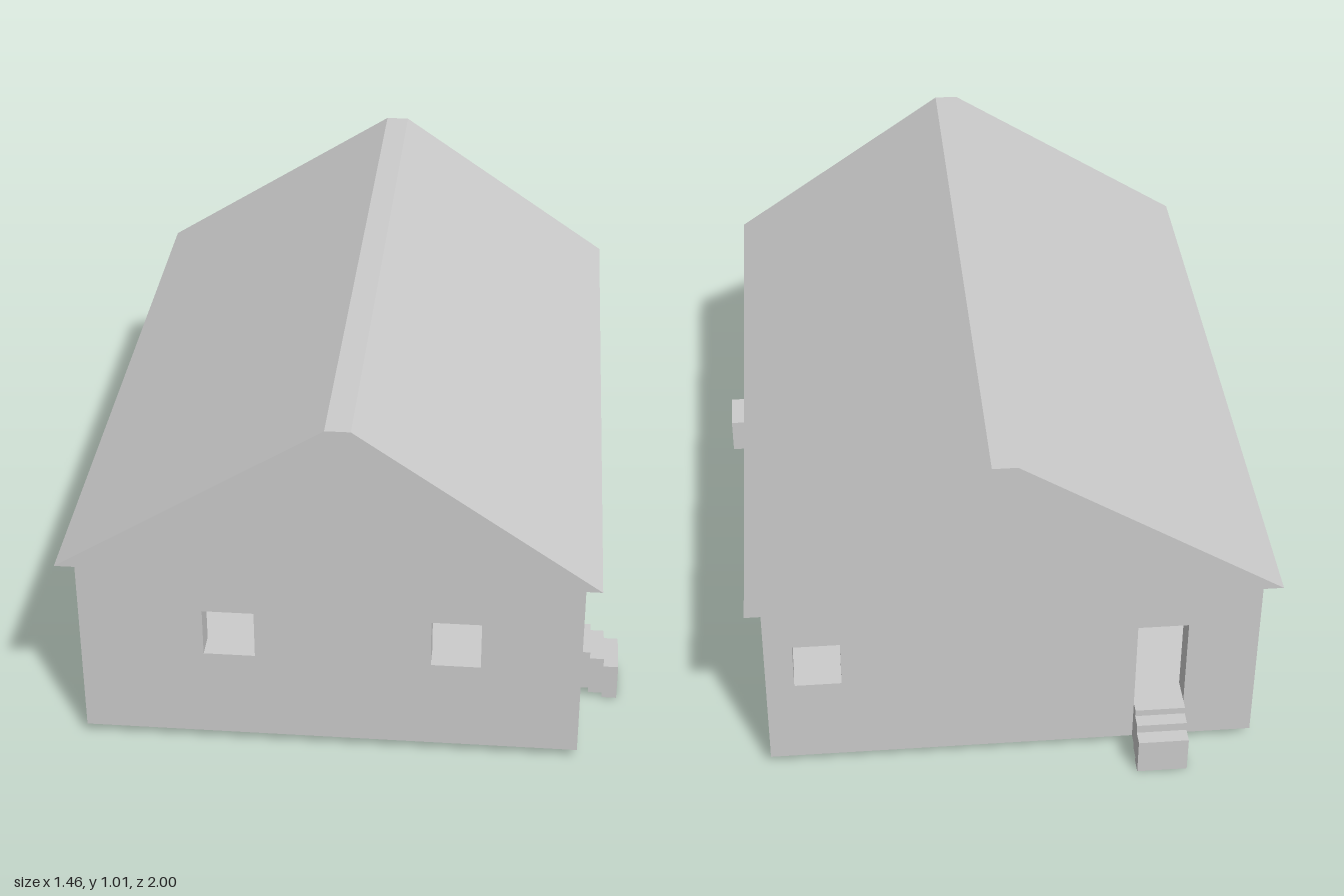
import * as THREE from 'three';

const BASE = 0.03, FLOOR = 0.15, EAVE = 0.575;    // wall foot, room floor, wall top
const SILL = 0.285, HEAD = 0.42;                  // window sill, head of every opening
const OUT = { x0: -0.69, x1: 0.62, z0: -0.89, z1: 0.95 };
const IN = { x0: -0.62, x1: 0.55, z0: -0.82, z1: 0.88 };

const solid = new THREE.MeshStandardMaterial({ color: 0xcccccc, flatShading: true });
const sheetMat = new THREE.MeshStandardMaterial({ color: 0xcccccc, flatShading: true, side: THREE.DoubleSide });

// Collects flat rectangles into one mesh; n is the direction each should face
function sheets() {
  const pos = [];
  return {
    quad(o, e, f, n) {
      const O = new THREE.Vector3(...o), N = new THREE.Vector3(...n);
      let E = new THREE.Vector3(...e), F = new THREE.Vector3(...f);
      if (E.clone().cross(F).dot(N) < 0) [E, F] = [F, E];
      const A = O.clone().add(E), B = A.clone().add(F), C = O.clone().add(F);
      for (const p of [O, A, B, O, B, C]) pos.push(p.x, p.y, p.z);
    },
    mesh(name) {
      const g = new THREE.BufferGeometry();
      g.setAttribute('position', new THREE.Float32BufferAttribute(pos, 3));
      g.computeVertexNormals();
      const m = new THREE.Mesh(g, sheetMat);
      m.name = name;
      return m;
    },
  };
}

const win = (u0, u1) => ({ u0, u1, y0: SILL });
const door = (u0, u1) => ({ u0, u1, y0: FLOOR });

// Hollow wall: two skins pierced by openings, plus the reveals joining them.
// axis is the direction it runs in; each skin is { w, u0, u1, y0 }.
function wall(name, axis, skinA, skinB, openings) {
  const s = sheets();
  const P = (u, y, w) => (axis === 'x' ? [u, y, w] : [w, y, u]);
  const list = [...openings].sort((a, b) => a.u0 - b.u0);

  for (const [skin, other] of [[skinA, skinB], [skinB, skinA]]) {
    const n = P(0, 0, Math.sign(skin.w - other.w));
    const rect = (u0, u1, y0, y1) => {
      if (u1 - u0 > 1e-4 && y1 - y0 > 1e-4)
        s.quad(P(u0, y0, skin.w), P(u1 - u0, 0, 0), P(0, y1 - y0, 0), n);
    };
    let u = skin.u0;
    for (const o of list) {
      rect(u, o.u0, skin.y0, EAVE);
      rect(o.u0, o.u1, skin.y0, o.y0);
      rect(o.u0, o.u1, HEAD, EAVE);
      u = o.u1;
    }
    rect(u, skin.u1, skin.y0, EAVE);
  }

  // reveals: jambs, sill and head
  const w = skinA.w, t = P(0, 0, skinB.w - skinA.w);
  for (const { u0, u1, y0 } of list) {
    const up = P(0, HEAD - y0, 0), along = P(u1 - u0, 0, 0);
    s.quad(P(u0, y0, w), up, t, P(1, 0, 0));
    s.quad(P(u1, y0, w), up, t, P(-1, 0, 0));
    s.quad(P(u0, y0, w), along, t, [0, 1, 0]);
    s.quad(P(u0, HEAD, w), along, t, [0, -1, 0]);
  }
  return s.mesh(name);
}

const outerWall = (name, axis, side, openings) => {
  const w = (axis === 'x' ? 'z' : 'x') + side;
  return wall(name, axis,
    { w: OUT[w], u0: OUT[axis + 0], u1: OUT[axis + 1], y0: BASE },
    { w: IN[w], u0: IN[axis + 0], u1: IN[axis + 1], y0: FLOOR }, openings);
};

const partition = (name, axis, w0, w1, u0, u1, openings) =>
  wall(name, axis, { w: w0, u0, u1, y0: FLOOR }, { w: w1, u0, u1, y0: FLOOR }, openings);

function extrude(name, points, depth) {
  const shape = new THREE.Shape(points.map(([x, y]) => new THREE.Vector2(x, y)));
  const m = new THREE.Mesh(new THREE.ExtrudeGeometry(shape, { depth, bevelEnabled: false }), solid);
  m.name = name;
  return m;
}

// Three treads stepping down and away from the wall
function steps(name, width) {
  return extrude(name, [
    [0, 0.03], [0.03, 0.03], [0.03, 0.015], [0.068, 0.015], [0.068, 0], [0.108, 0],
    [0.108, 0.105], [0.068, 0.105], [0.068, 0.13], [0.03, 0.13], [0.03, 0.15], [0, 0.15],
  ], width);
}

export function createModel() {
  const house = new THREE.Group();
  house.name = 'house';

  // outer walls
  house.add(
    outerWall('frontWall', 'x', 1, [win(-0.365, -0.23), win(0.23, 0.36)]),
    outerWall('backWall', 'x', 0, [door(-0.5, -0.365), win(0.42, 0.55 - 0.005)]),
    outerWall('leftWall', 'z', 1, [win(-0.24, -0.1), door(0.55, 0.68), win(0.75, 0.88 - 0.005)]),
    outerWall('rightWall', 'z', 0, [win(-0.76, -0.625), win(-0.24, -0.1), win(0.55, 0.68)]),
  );

  // inner walls
  house.add(
    partition('spineWall', 'z', -0.04, 0.03, IN.z0, IN.z1, [door(0.55, 0.68)]),
    partition('frontPartition', 'x', 0.24, 0.31, IN.x0, -0.04, [door(-0.435, -0.3)]),
    partition('backPartition', 'x', -0.52, -0.45, 0.03, IN.x1, [door(0.355, 0.49)]),
  );

  // room floors, left open beneath the hollow walls
  const floor = sheets();
  for (const [x0, x1, z0, z1] of [
    [IN.x0, -0.04, 0.31, IN.z1], [IN.x0, -0.04, IN.z0, 0.24],
    [0.03, IN.x1, -0.45, IN.z1], [0.03, IN.x1, IN.z0, -0.52],
  ]) floor.quad([x0, FLOOR, z0], [x1 - x0, 0, 0], [0, 0, z1 - z0], [0, 1, 0]);
  house.add(floor.mesh('roomFloors'));

  // gable roof with a narrow flat ridge
  const roof = extrude('roof', [[-0.73, EAVE], [0.66, EAVE], [0.03, 1.01], [-0.035, 1.01]], 1.94);
  roof.position.z = -0.94;
  house.add(roof);

  // entrance steps
  const sideSteps = steps('sideSteps', 0.13);
  sideSteps.position.set(OUT.x1, 0, 0.55);
  const backSteps = steps('backSteps', 0.135);
  backSteps.rotation.y = Math.PI / 2;
  backSteps.position.set(-0.5, 0, OUT.z0);
  house.add(sideSteps, backSteps);

  return house;
}
